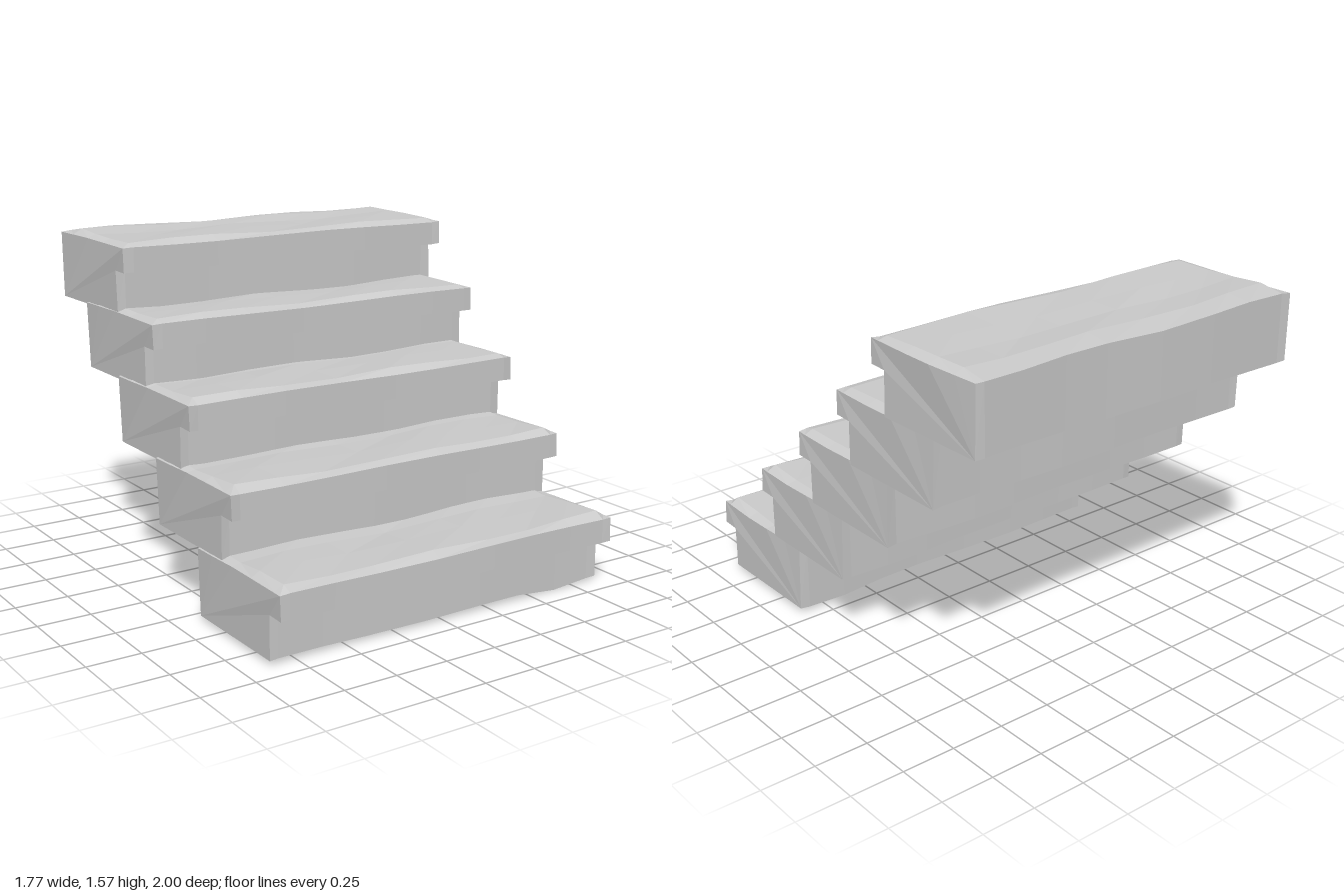
import * as THREE from 'three';

// x positions of the cross-sections; the outer gaps form the side bevels
const SECTIONS = [-0.88, -0.835, -0.62, -0.4, -0.1, 0.2, 0.42, 0.64, 0.835, 0.88];
const LIP = 0.095, BEVEL = 0.05;

// front of the lip, back of the block and underside height of each step
const STEPS = [
  { front: 0.992, back: 0.322, bottom: 0.02 },
  { front: 0.61, back: -0.052, bottom: 0.33 },
  { front: 0.26, back: -0.41, bottom: 0.632 },
  { front: -0.058, back: -0.73, bottom: 0.927 },
  { front: -0.323, back: -0.995, bottom: 1.23 },
];

// side outline of a step: block with an overhanging, bevelled lip
function stepProfile({ front, back, bottom }) {
  const lipY = bottom + 0.2, edgeY = bottom + 0.312, topY = bottom + 0.332;
  const f = front - BEVEL;
  const at = (t) => f + (back - f) * t;
  return new THREE.Shape([
    [back, bottom], [front - LIP, bottom], [front - LIP, lipY],
    [front, lipY], [front, edgeY], [f, topY],
    [at(0.3), topY - 0.003], [at(0.55), topY - 0.008], [at(0.8), topY], [back, edgeY + 0.006],
  ].map(([z, y]) => new THREE.Vector2(z, y)));
}

// worn stone: extruded profile with gently uneven faces
function stepGeometry(step, seed) {
  const last = SECTIONS.length - 1;
  const geo = new THREE.ExtrudeGeometry(stepProfile(step), { depth: last, steps: last, bevelEnabled: false });
  geo.rotateY(-Math.PI / 2);
  const pos = geo.attributes.position;
  const edgeY = step.bottom + 0.312;
  for (let i = 0; i < pos.count; i++) {
    const k = Math.round(pos.getX(i) + last);
    let x = SECTIONS[k], y = pos.getY(i), z = pos.getZ(i);
    const isEnd = k === 0 || k === last;
    if (y > edgeY + 0.001) {
      // tread, dropping to the bevel line at both ends
      y = isEnd ? edgeY : y + 0.007 * Math.sin(x * 7 + z * 9 + seed * 2.1) - 0.004 * Math.cos(x * 2);
    } else if (y < step.bottom + 0.01) {
      // underside, sagging most below the lowest step
      if (!isEnd) y += 0.004 * Math.sin(x * 6 + seed);
      if (seed === 0 && k === 7) y -= z > 0.6 ? 0.018 : 0.008;
    } else if (!isEnd) {
      y += 0.004 * Math.sin(x * 5 + seed * 1.7);
    }
    if (isEnd) x += 0.006 * Math.sin(z * 8 + y * 6 + seed);
    else z += 0.005 * Math.sin(x * 5 + seed * 1.3 + 1);
    pos.setXYZ(i, x, Math.max(y, 0), z);
  }
  geo.computeVertexNormals();
  return geo;
}

export function createModel() {
  const group = new THREE.Group();
  group.name = 'stoneStairs';
  const stone = new THREE.MeshStandardMaterial({ color: 0xcccccc, flatShading: true });
  STEPS.forEach((step, i) => {
    const mesh = new THREE.Mesh(stepGeometry(step, i), stone);
    mesh.name = `step${i + 1}`;
    group.add(mesh);
  });
  return group;
}
